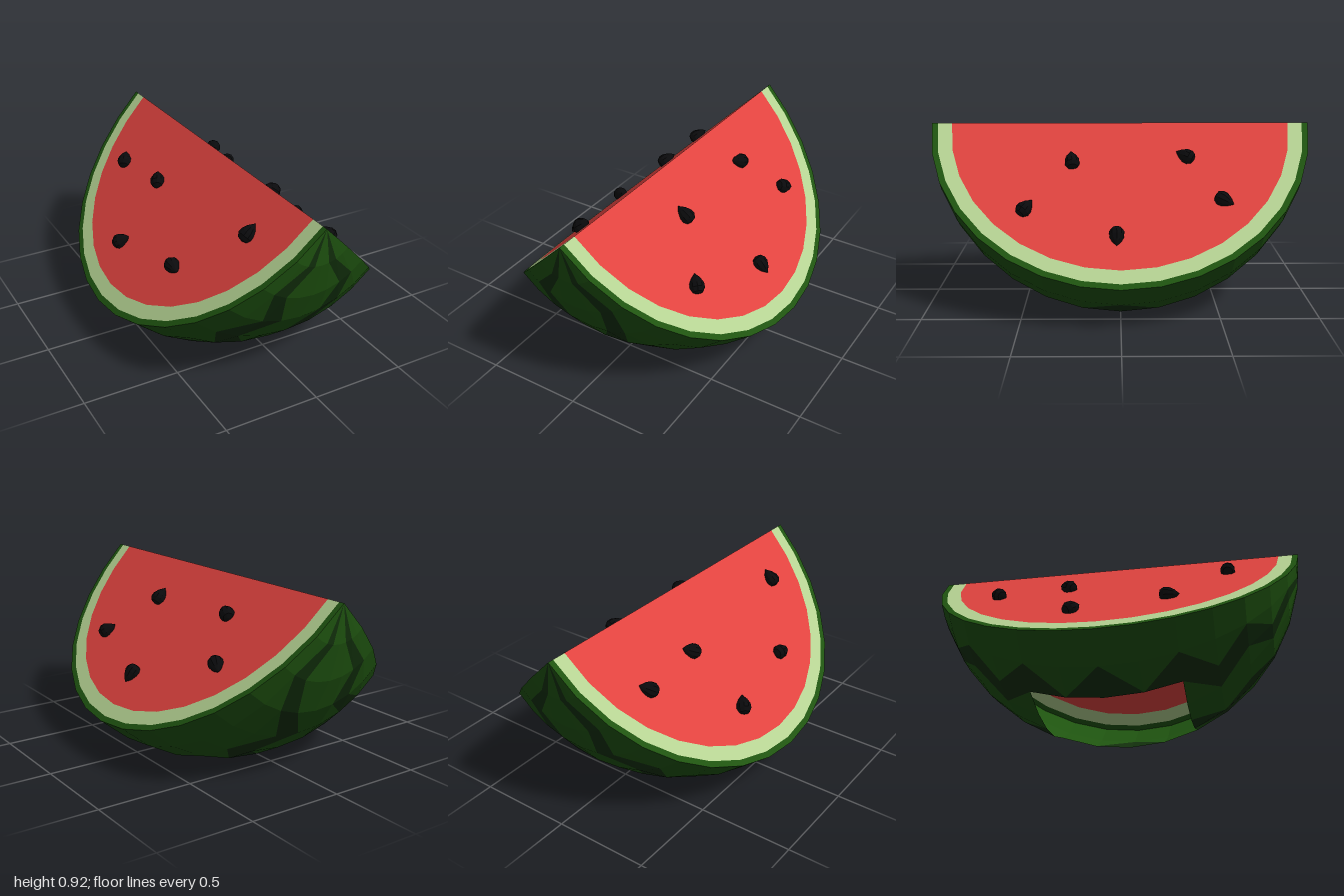
import * as THREE from 'three';

const AXIS_Y = 0.925; // height of the slice's straight edge
const STEP = Math.PI / 16;

const material = (color) =>
  new THREE.MeshStandardMaterial({ color, flatShading: true, side: THREE.DoubleSide });
const mats = {
  skin: material(0x1f5410), stripe: material(0x12300c), rind: material(0xb5d292),
  flesh: material(0xe0433f), seed: material(0x0a0a0c),
};

// Point on the round skin: ring k counts from the +z pole, column j from the bottom line
function skinPoint(k, j) {
  const t = k * STEP, p = j * STEP;
  return [Math.sin(t) * Math.sin(p), AXIS_Y - Math.sin(t) * Math.cos(p), Math.cos(t)];
}

// First column of the two zigzag stripes on rings 1 to 8; the other half mirrors these
const stripeStarts = [[-2, 1], [-3, 2], [-2, 1], [-3, 0], [-2, 1], [-3, 0], [-2, 1], [-3, 2]];

// Columns at which the colour changes along a ring
function ringBreaks(k) {
  if (k === 0 || k === 16) return [0, 0, 0, 0, 0, 0];
  const [l, r] = stripeStarts[Math.min(k, 16 - k) - 1];
  return [-4, l, l + 1, r, r + 1, 4];
}

// Fill the strip between two rings from columns a0..a1 (ring k) and b0..b1 (ring k + 1)
function zipStrip(out, k, a0, a1, b0, b1) {
  let a = a0, b = b0;
  while (a < a1 || b < b1) {
    if (a < a1 && (b >= b1 || a <= b)) {
      out.push(...skinPoint(k, a), ...skinPoint(k + 1, b), ...skinPoint(k, a + 1));
      a++;
    } else {
      out.push(...skinPoint(k, a), ...skinPoint(k + 1, b), ...skinPoint(k + 1, b + 1));
      b++;
    }
  }
}

function createSkin() {
  const light = [], dark = [];
  for (let k = 0; k < 16; k++) {
    let top = ringBreaks(k), bottom = ringBreaks(k + 1);
    const open = k >= 6 && k < 10; // square opening under the slice
    if (open) {
      const clamp = (v, i) => (i < 3 ? Math.min(v, -2) : Math.max(v, 2));
      top = top.map(clamp);
      bottom = bottom.map(clamp);
    }
    for (let s = 0; s < 5; s++) {
      if (open && s === 2) continue;
      zipStrip(s % 2 ? dark : light, k, top[s], top[s + 1], bottom[s], bottom[s + 1]);
    }
  }
  const group = new THREE.Group();
  group.name = 'skin';
  for (const [name, pos, mat] of [['greenSkin', light, mats.skin], ['darkStripes', dark, mats.stripe]]) {
    const geo = new THREE.BufferGeometry();
    geo.setAttribute('position', new THREE.Float32BufferAttribute(pos, 3));
    geo.computeVertexNormals();
    const mesh = new THREE.Mesh(geo, mat);
    mesh.name = name;
    group.add(mesh);
  }
  return group;
}

// Teardrop seed, tip towards +y
function createSeedGeometry() {
  const profile = [[0, -0.048], [0.026, -0.041], [0.039, -0.02], [0.038, 0.002], [0.024, 0.03], [0, 0.058]];
  return new THREE.LatheGeometry(profile.map(([x, y]) => new THREE.Vector2(x, y)), 10);
}

// Seeds per cut face: x distance from the centre, z, tip direction along z and down the slope
const seeds = {
  left: [[0.35, -0.52, -0.8, 0.5], [0.16, -0.34, 0.9, -0.5], [0.5, 0.02, 0, 1],
    [0.18, 0.25, 0.1, -1], [0.385, 0.48, -0.6, -0.8]],
  right: [[0.25, -0.61, -0.7, -0.7], [0.49, -0.15, 0.6, -0.8], [0.225, -0.23, -0.8, -0.6],
    [0.42, 0.33, 1, 0.1], [0.165, 0.62, 0, -1]],
};

// Flat cut face: half disc of flesh with rind and skin bands, plus seeds
function createCutFace(side, s, seedGeo) {
  const face = new THREE.Group();
  face.name = side + 'CutFace';
  const add = (name, geo, mat) => {
    const mesh = new THREE.Mesh(geo, mat);
    mesh.name = name;
    face.add(mesh);
    return mesh;
  };
  add('flesh', new THREE.CircleGeometry(0.893, 16, 0, Math.PI), mats.flesh);
  add('rind', new THREE.RingGeometry(0.893, 0.968, 16, 1, 0, Math.PI), mats.rind);
  add('skinEdge', new THREE.RingGeometry(0.968, 1, 16, 1, 0, Math.PI), mats.skin);
  for (const [x, z, dz, dv] of seeds[side]) {
    const seed = add('seed', seedGeo, mats.seed);
    seed.position.set(s * z, x * Math.SQRT2, 0.014);
    seed.rotation.z = Math.atan2(-s * dz, dv);
  }
  // Local x runs along the straight edge, y down the slope, z outwards
  const h = Math.SQRT1_2;
  const basis = new THREE.Matrix4().makeBasis(
    new THREE.Vector3(0, 0, s), new THREE.Vector3(s * h, -h, 0), new THREE.Vector3(s * h, h, 0));
  face.quaternion.setFromRotationMatrix(basis);
  face.position.y = AXIS_Y;
  return face;
}

export function createModel() {
  const model = new THREE.Group();
  model.name = 'watermelonSlice';
  const seedGeo = createSeedGeometry();
  model.add(createSkin(), createCutFace('left', 1, seedGeo), createCutFace('right', -1, seedGeo));
  return model;
}
